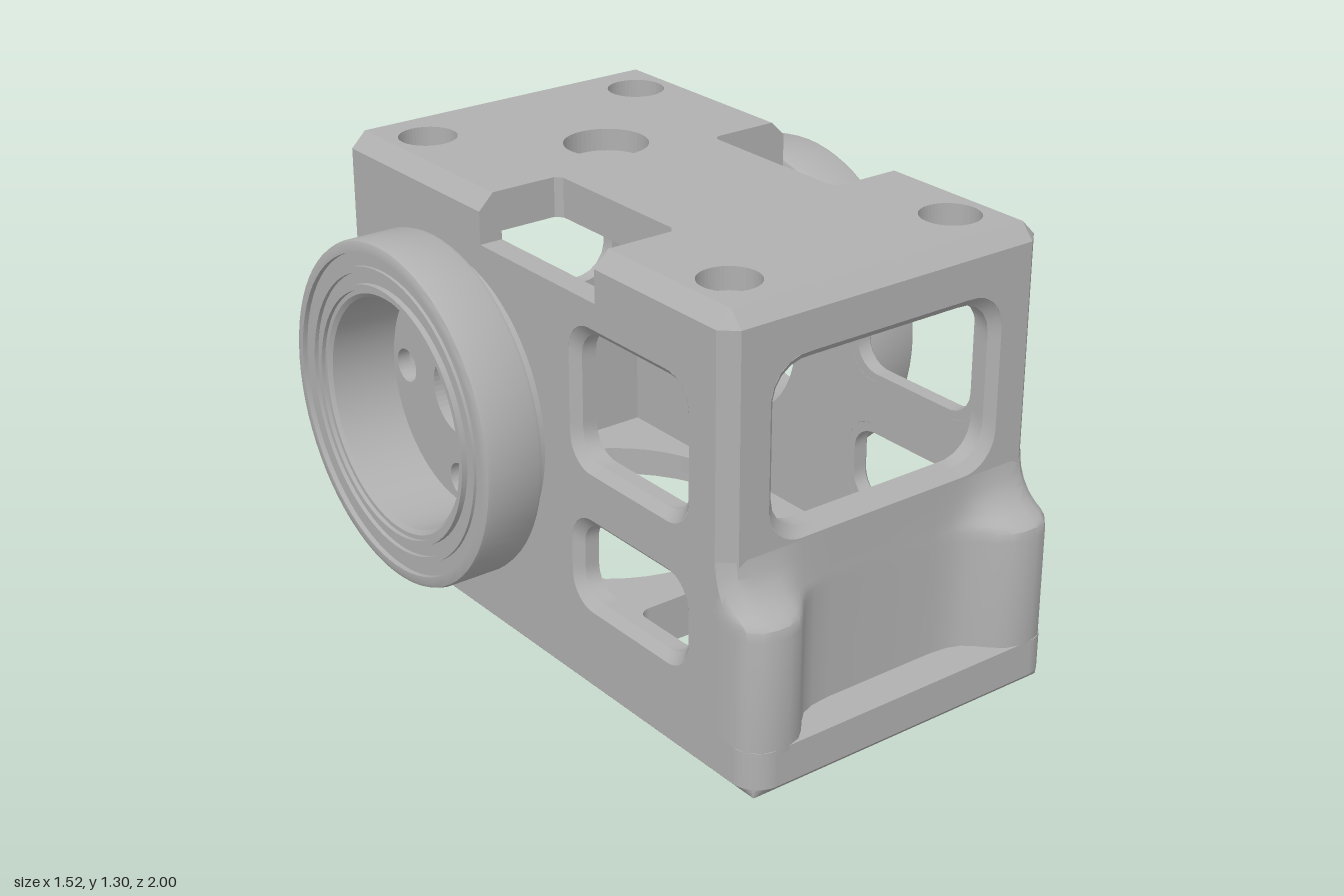
import * as THREE from 'three';
import { toCreasedNormals } from 'three/addons/utils/BufferGeometryUtils.js';

const metal = new THREE.MeshStandardMaterial({ color: 0xb0b0b0, side: THREE.DoubleSide });
metal.name = 'plain grey';

const HX = 0.53, HZ = 0.88, CX = 0.485, CZ = 0.84; // body half sizes, and where chamfers start
const TOP = 1.305, SHOULDER = 1.26, WALL = 0.07;
const AXLE_Y = 0.665, AXLE_Z = -0.33;

export function createModel() {
  const model = new THREE.Group();
  model.name = 'gearHousing';

  const add = (name, geo) => {
    const mesh = new THREE.Mesh(geo, metal);
    mesh.name = name;
    model.add(mesh);
    return mesh;
  };

  // outline helpers
  const poly = (pts) => new THREE.Shape(pts.map(([a, b]) => new THREE.Vector2(a, b)));
  const circle = (x, y, r) => new THREE.Path().absarc(x, y, r, 0, Math.PI * 2, true);
  const roundRect = (x0, x1, y0, y1, r) => {
    const s = new THREE.Shape();
    s.absarc(x1 - r, y1 - r, r, 0, Math.PI / 2);
    s.absarc(x0 + r, y1 - r, r, Math.PI / 2, Math.PI);
    s.absarc(x0 + r, y0 + r, r, Math.PI, Math.PI * 1.5);
    s.absarc(x1 - r, y0 + r, r, Math.PI * 1.5, Math.PI * 2);
    s.closePath();
    return s;
  };
  const extrude = (shape, holes, depth, steps = 1) => {
    shape.holes.push(...holes);
    return new THREE.ExtrudeGeometry(shape, { depth, steps, bevelEnabled: false, curveSegments: 24 });
  };
  // horizontal plate whose outline is in (x, z)
  const plate = (shape, holes, yTop, depth, steps) =>
    extrude(shape, holes, depth, steps).rotateX(Math.PI / 2).translate(0, yTop, 0);
  // skin through rows of points
  const loft = (rows, closed) => {
    const n = rows[0].length, index = [];
    for (let j = 0; j < rows.length - 1; j++) {
      for (let i = 0; i < (closed ? n : n - 1); i++) {
        const a = j * n + i, b = j * n + (i + 1) % n;
        index.push(a, b, b + n, a, b + n, a + n);
      }
    }
    const g = new THREE.BufferGeometry().setFromPoints(rows.flat());
    g.setIndex(index);
    g.computeVertexNormals();
    return toCreasedNormals(g, 0.6);
  };
  // chamfered lining of a window; place(u, v, d) maps it onto a wall at depth d
  const lining = (name, [x0, x1, y0, y1, r], place) => {
    const c = 0.025;
    const big = roundRect(x0, x1, y0, y1, r).getSpacedPoints(64).slice(0, -1);
    const cx = (x0 + x1) / 2, cy = (y0 + y1) / 2;
    const kx = 1 - 2 * c / (x1 - x0), ky = 1 - 2 * c / (y1 - y0);
    const ring = (small, d) => big.map((p) => small
      ? place(cx + (p.x - cx) * kx, cy + (p.y - cy) * ky, d) : place(p.x, p.y, d));
    add(name, loft([ring(false, 0), ring(true, c), ring(true, WALL), ring(false, WALL)], true));
  };

  // side walls with two windows, a top notch and axle openings
  const sideWindows = [[0.225, 0.735, 0.67, 1.09, 0.09], [0.225, 0.735, 0.255, 0.535, 0.09]];
  const sideWall = (name, xOuter, depth, axleHoles) => add(name, extrude(
    poly([[-CZ, 0.1], [CZ, 0.1], [CZ, SHOULDER], [0.345, SHOULDER], [0.345, 1.165],
      [-0.18, 1.165], [-0.18, SHOULDER], [-CZ, SHOULDER]]),
    [...sideWindows.map((w) => roundRect(...w)), ...axleHoles], depth
  ).rotateY(-Math.PI / 2).translate(xOuter, 0, 0));
  const discHoles = (r) => [circle(AXLE_Z, AXLE_Y, 0.12), ...[0, 1, 2, 3].map((i) =>
    circle(AXLE_Z + 0.265 * Math.cos(i * Math.PI / 2), AXLE_Y + 0.265 * Math.sin(i * Math.PI / 2), r))];
  sideWall('leftSideWall', HX, WALL, [circle(AXLE_Z, AXLE_Y, 0.305)]);
  sideWall('rightSideWall', -HX + 0.04, 0.04, discHoles(0.05));
  sideWall('rightSideInnerWall', -HX + WALL, WALL - 0.04, discHoles(0.08));

  for (const s of [1, -1]) {
    sideWindows.forEach((w) => lining('sideWindowLining', w,
      (z, y, d) => new THREE.Vector3(s * (HX - d), y, z)));

    // end walls with a large window
    const endWindow = [-0.39, 0.39, 0.64, 1.15, 0.11];
    add(s > 0 ? 'frontWall' : 'backWall', extrude(
      poly([[-CX, 0.1], [CX, 0.1], [CX, SHOULDER], [-CX, SHOULDER]]),
      [roundRect(...endWindow)], WALL).translate(0, 0, s > 0 ? HZ - WALL : -HZ));
    lining('endWindowLining', endWindow, (x, y, d) => new THREE.Vector3(x, y, s * (HZ - d)));

    // chamfered corner columns
    for (const t of [1, -1]) {
      add('cornerColumn', plate(poly([[0.46, 0.81], [HX, 0.81], [HX, CZ], [CX, HZ], [0.46, HZ]]
        .map(([x, z]) => [x * t, z * s])), [], SHOULDER, SHOULDER - 0.1));
    }

    // flared feet blending into the end wall
    const half = [[0, 0.882], [0.18, 0.882], [0.24, 0.888], [0.28, 0.903], [0.31, 0.93], [0.34, 0.963],
      [0.37, 0.988], [0.41, 1], [0.45, 1], [0.49, 0.989], [0.52, 0.96], [HX, 0.92], [HX, CZ]];
    const foot = [...half.slice(1).reverse().map(([x, z]) => [-x, z]), ...half];
    const blend = [[0.12, 1], [0.455, 1], [0.482, 0.95], [0.496, 0.82], [0.51, 0.6],
      [0.53, 0.38], [0.56, 0.19], [0.59, 0.07], [0.635, 0]];
    add(s > 0 ? 'frontFeet' : 'backFeet', loft(blend.map(([y, k]) => foot.map(([x, z]) => {
      const wall = HZ + 0.001 - Math.max(0, Math.abs(x) - CX) * (HZ - CZ) / (HX - CX);
      return new THREE.Vector3(x, y, s * (wall + (z - wall) * k));
    })), false));
  }

  // base: lower layer with wide bearing seat and screw recesses, bottom edge chamfered
  const floorSlot = () => roundRect(-0.31, 0.31, 0.22, 0.57, 0.04);
  const screws = [];
  for (const x of [-0.4, 0.4]) for (const z of [-0.88, 0.88]) screws.push(circle(x, z, 0.08));
  const lower = plate(roundRect(-HX, HX, -1, 1, 0.08),
    [circle(0, AXLE_Z, 0.52), floorSlot(), ...screws], 0.08, 0.08, 3);
  const p = lower.attributes.position;
  for (let i = 0; i < p.count; i++) {
    if (p.getY(i) < 0.01) {
      p.setX(i, THREE.MathUtils.clamp(p.getX(i), -0.505, 0.505));
      p.setZ(i, THREE.MathUtils.clamp(p.getZ(i), -0.975, 0.975));
    }
  }
  lower.computeVertexNormals();
  add('baseLower', lower);
  add('baseUpper', plate(roundRect(-HX, HX, -1, 1, 0.08),
    [circle(0, AXLE_Z, 0.43), floorSlot()], 0.135, 0.055));

  // top plate in two layers, so the holes are counterbored
  const lid = (name, yTop, depth, rScrew, rCentre) => add(name, plate(
    poly([[-CX, -CZ], [CX, -CZ], [CX, -0.18], [0.285, -0.18], [0.268, -0.16], [0.268, 0.325], [0.285, 0.345],
      [CX, 0.345], [CX, CZ], [-CX, CZ], [-CX, 0.345], [-0.285, 0.345], [-0.268, 0.325], [-0.268, -0.16],
      [-0.285, -0.18], [-CX, -0.18]]),
    [circle(0, AXLE_Z, rCentre), ...[-0.37, 0.37].flatMap((x) =>
      [-0.685, 0.69].map((z) => circle(x, z, rScrew)))], yTop, depth));
  lid('topPlate', TOP, 0.065, 0.085, 0.122);
  lid('topPlateUnderside', 1.24, 0.05, 0.045, 0.062);
  add('centreBoss', plate(new THREE.Shape().absarc(0, AXLE_Z, 0.13, 0, Math.PI * 2),
    [circle(0, AXLE_Z, 0.062)], 1.19, 0.04));

  // sloping top edges and corner facets
  const face = (name, pts) => add(name, loft([
    [pts[0], pts[1]], [pts[3] ?? pts[2], pts[2]]].map((r) => r.map((q) => new THREE.Vector3(...q))), false));
  for (const s of [1, -1]) {
    face('endTopChamfer', [[-CX, SHOULDER, s * HZ], [CX, SHOULDER, s * HZ], [CX, TOP, s * CZ], [-CX, TOP, s * CZ]]);
    for (const [z0, z1] of [[-CZ, -0.18], [0.345, CZ]]) {
      add('sideTopChamfer', extrude(poly([[s * 0.46, SHOULDER], [s * HX, SHOULDER], [s * CX, TOP], [s * 0.46, TOP]]),
        [], z1 - z0).translate(0, 0, z0));
    }
    for (const t of [1, -1]) {
      face('cornerFacet', [[t * HX, SHOULDER, s * CZ], [t * CX, SHOULDER, s * HZ], [t * CX, TOP, s * CZ]]);
    }
  }

  // stepped bearing rings on both sides
  const bearing = (name, side, bore) => {
    const profile = [[bore, 0.46 + WALL], [bore, 0.735], [bore + 0.012, 0.745], [0.36, 0.745], [0.36, 0.757],
      [0.375, 0.757], [0.375, 0.74], [0.408, 0.74], [0.408, 0.752], [0.425, 0.752], [0.425, 0.743],
      [0.465, 0.743], [0.465, 0.758], [0.485, 0.758], [0.496, 0.753], [0.5, 0.742], [0.5, 0.594],
      [0.496, 0.583], [0.485, 0.578], [0.435, 0.578], [0.435, 0.53]];
    const g = new THREE.LatheGeometry(profile.map(([r, h]) => new THREE.Vector2(r, h)), 72);
    add(name, toCreasedNormals(g, 0.6).rotateZ(-side * Math.PI / 2).translate(0, AXLE_Y, AXLE_Z));
  };
  bearing('leftBearing', 1, 0.305);
  bearing('rightBearing', -1, 0.335);

  return model;
}
